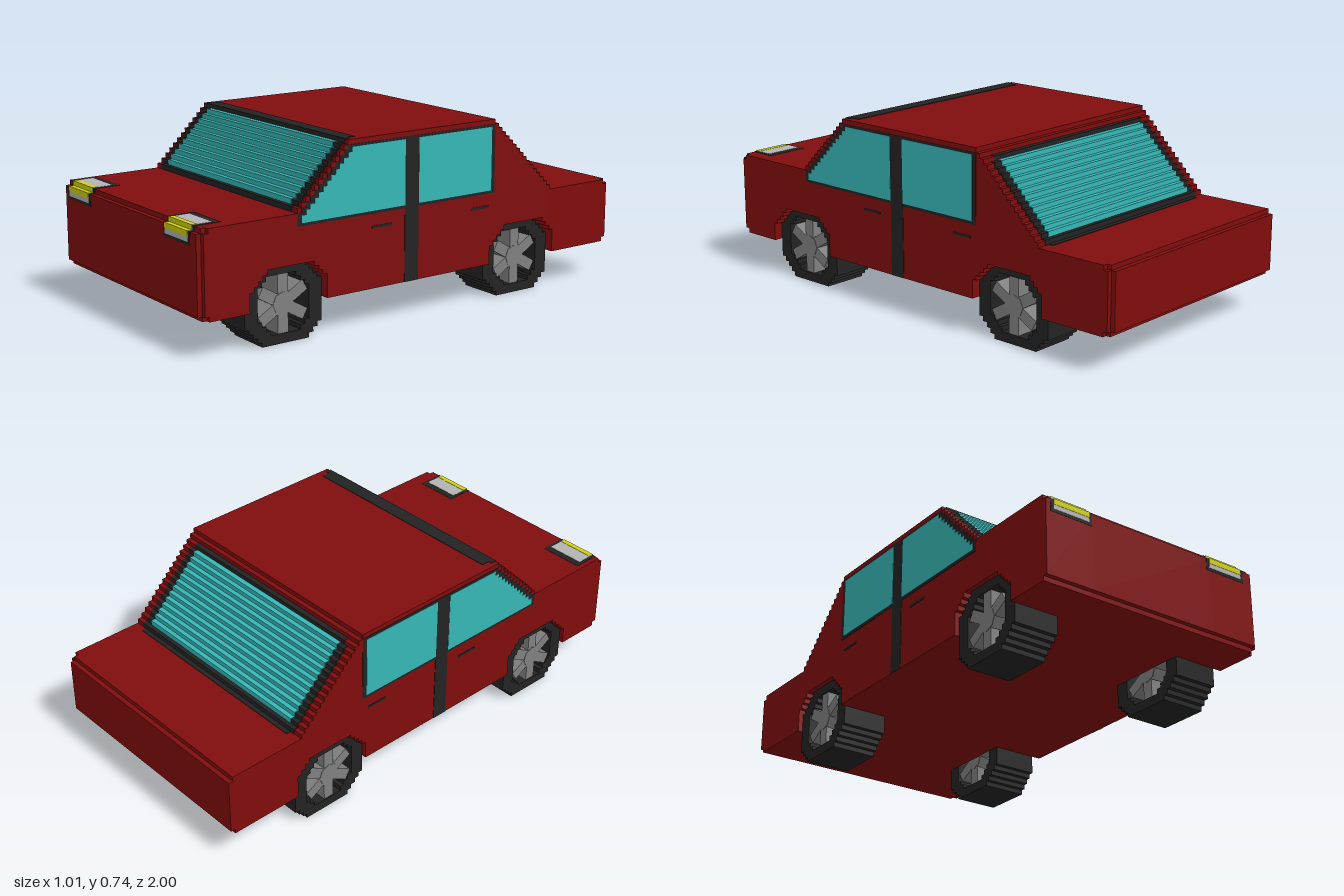
import * as THREE from 'three';

const V = 2 / 106; // one block of the stepped model; all sizes below are in blocks

const mat = (name, color) => {
  const m = new THREE.MeshStandardMaterial({ color });
  m.name = name;
  return m;
};

export function createModel() {
  const red = mat('red paint', 0x800d0d);
  const black = mat('black trim', 0x232323);
  const glass = mat('teal glass', 0x37b7b7);
  const grey = mat('wheel grey', 0x808080);
  const silver = mat('silver', 0xb3b3b3);
  const yellow = mat('yellow lamp', 0xd0d00f);

  const car = new THREE.Group();
  car.name = 'car';

  const add = (name, geometry, material, parent = car) => {
    const mesh = new THREE.Mesh(geometry, material);
    mesh.name = name;
    parent.add(mesh);
    return mesh;
  };

  const box = (name, material, x0, x1, y0, y1, z0, z1, parent) =>
    add(name, new THREE.BoxGeometry((x1 - x0) * V, (y1 - y0) * V, (z1 - z0) * V)
      .translate((x0 + x1) / 2 * V, (y0 + y1) / 2 * V, (z0 + z1) / 2 * V), material, parent);

  // Turns sloping edges of a (z, y) outline into block steps
  const stair = (points) => {
    const out = [];
    points.forEach(([z, y], k) => {
      const [z2, y2] = points[(k + 1) % points.length];
      out.push(new THREE.Vector2(z * V, y * V));
      if (z === z2 || y === y2) return;
      const n = Math.round(Math.abs(y2 - y));
      for (let i = 0; i < n; i++) {
        const za = z + (z2 - z) * i / n, zb = z + (z2 - z) * (i + 1) / n;
        const yb = y + (y2 - y) * (i + 1) / n;
        out.push(new THREE.Vector2(za * V, yb * V));
        if (i < n - 1) out.push(new THREE.Vector2(zb * V, yb * V));
      }
    });
    return out;
  };

  // Extrudes a stepped side outline across the car from x0 to x1
  const across = (name, material, points, x0, x1, hole, parent) => {
    const shape = new THREE.Shape(stair(points));
    if (hole) shape.holes.push(new THREE.Path(stair(hole)));
    const g = new THREE.ExtrudeGeometry(shape, { depth: (x1 - x0) * V, bevelEnabled: false });
    return add(name, g.rotateY(-Math.PI / 2).translate(x1 * V, 0, 0), material, parent);
  };

  // Body: full core, side walls with wheel arches, one-block outer skin
  const axles = [-27, 33];
  const profile = (end, arches) => [
    [1 - end, 8],
    ...(arches ? axles.flatMap((c) =>
      [[c - 9, 8], [c - 9, 12], [c - 5, 16], [c + 5, 16], [c + 9, 12], [c + 9, 8]]) : []),
    [end - 1, 8], [end - 1, 9], [end, 9], [end, 25], [end - 1, 25], [end - 1, 26],
    [31, 26], [18, 39], [-19, 39], [-36, 22],
    [1 - end, 22], [1 - end, 21], [-end, 21], [-end, 9], [1 - end, 9],
  ];
  across('bodyCore', red, profile(53, false), -15.5, 14.5);
  across('rightBodySide', red, profile(53, true), -26.5, -15.5);
  across('leftBodySide', red, profile(53, true), 14.5, 25.5);
  across('leftBodySkin', red, profile(52, true), 25.5, 26.5);

  // Windscreen and rear window: thin skins over each step of the slope
  const e = 0.12;
  const cap = (name, material, half, top, z0, z1, lift) =>
    box(name, material, -half, half, top - 1, top + lift, z0 - lift, z1 + lift);
  for (let i = 0; i < 13; i++) {
    cap('windscreenFrame', black, i === 0 ? 24.5 : 25.5, 27 + i, 30 - i, 31 - i, e);
    if (i > 0 && i < 12) {
      cap('windscreen', glass, i === 1 || i === 11 ? 23.2 : 23.6, 27 + i, 30 - i, 31 - i, 2 * e);
    }
  }
  box('windscreenTopTrim', black, -24.7, 24.7, 38.5, 39 + e, 16, 18);
  for (let i = 1; i < 17; i++) {
    cap('rearWindowFrame', black, i === 1 || i === 16 ? 23.4 : 24.4, 38 - i, -20 - i, -19 - i, e);
    if (i > 1 && i < 15) cap('rearWindow', glass, 22.5, 38 - i, -20 - i, -19 - i, 2 * e);
  }

  // Side windows, door pillar and handles on both sides
  for (const s of [-1, 1]) {
    const side = s < 0 ? 'right' : 'left';
    const plate = (name, material, points, lift) => {
      const [a, b] = [s * 26.4, s * (26.5 + lift)].sort((p, q) => p - q);
      across(side + name, material, points, a, b);
    };
    const rect = (z0, z1, y0, y1) => [[z0, y0], [z1, y0], [z1, y1], [z0, y1]];
    plate('WindowFrame', black, [[-19, 23.4], [31, 23.4], [31, 25], [18, 38], [-19, 38]], 0.08);
    plate('DoorPillar', black, rect(1.3, 4.8, 8, 38), 0.1);
    plate('FrontWindow', glass, [[4.8, 24], [30, 24], [30, 24.5], [17, 37.5], [4.8, 37.5]], 0.16);
    plate('RearSideWindow', glass, rect(-18, 1.3, 24, 37.5), 0.16);
    plate('FrontHandle', black, rect(8, 13, 20.4, 20.9), 0.12);
    plate('RearHandle', black, rect(-17.5, -12.8, 20.4, 20.9), 0.12);
  }

  // Headlamps wrapping over the stepped bonnet edge
  const lamp = (name, material, x0, x1, y0, z0, lift) => {
    box(name, material, x0, x1, y0, 26 + lift, z0, 52 + lift);
    box(name, material, x0, x1, y0, 25 + lift, Math.max(z0, 50), 53 + lift);
  };
  for (const c of [-20.5, 18.5]) {
    lamp('headlampTrim', black, c - 4.9, c + 4.9, 22.4, 46.2, 0.06);
    lamp('headlampRim', silver, c - 4.2, c + 4.2, 23, 47.6, 0.12);
    lamp('headlampLens', yellow, c - 4.2, c + 4.2, 24, 51, 0.18);
  }

  // Wheels: stepped hollow tyre with a hub and six open spokes
  const octagon = (w, h, cut) => [
    [-w, cut - h], [cut - w, -h], [w - cut, -h], [w, cut - h],
    [w, h - cut], [w - cut, h], [cut - w, h], [-w, h - cut],
  ];
  for (const x of [-20.5, 19.5]) {
    for (const z of axles) {
      const wheel = new THREE.Group();
      wheel.name = (z > 0 ? 'front' : 'rear') + (x < 0 ? 'Right' : 'Left') + 'Wheel';
      wheel.position.set(x * V, 8 * V, z * V);
      car.add(wheel);
      across('tyre', black, octagon(9, 8, 4), -5, 5, octagon(6, 6, 3), wheel);
      add('hub', new THREE.CylinderGeometry(2.4 * V, 2.4 * V, 9.8 * V, 8).rotateZ(Math.PI / 2), grey, wheel);
      for (let k = 0; k < 3; k++) {
        const spoke = box('spoke', grey, -4.8, 4.8, -6, 6, -1.2, 1.2, wheel);
        spoke.rotation.x = k * Math.PI / 3;
      }
    }
  }
  return car;
}
